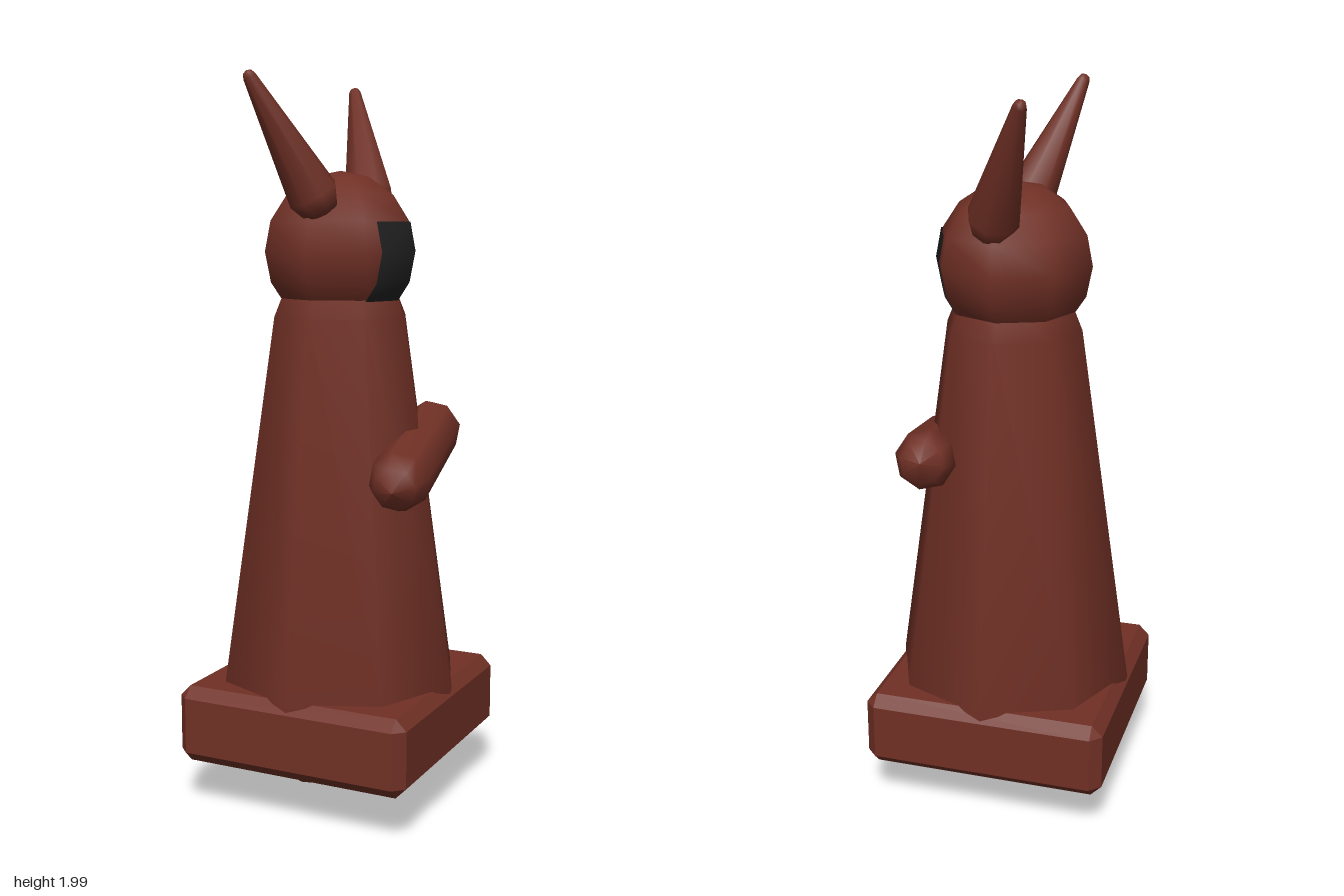
import * as THREE from 'three';
import { ConvexGeometry } from 'three/addons/geometries/ConvexGeometry.js';

const brown = new THREE.MeshStandardMaterial({ color: 0x703025 });
brown.name = 'reddish brown';
const black = new THREE.MeshStandardMaterial({ color: 0x222222, side: THREE.DoubleSide });
black.name = 'visor black';

const UP = new THREE.Vector3(0, 1, 0);

// Eight-sided tapered capsule between two points, with a rounded cap at each end
function taperedCapsule(name, a, b, ra, rb) {
  const start = new THREE.Vector3(...a);
  const dir = new THREE.Vector3(...b).sub(start);
  const length = dir.length();
  const c = Math.SQRT1_2;
  const profile = [
    [0, -ra], [ra * c, -ra * c], [ra, 0],
    [rb, length], [rb * c, length + rb * c], [0, length + rb],
  ].map(([x, y]) => new THREE.Vector2(x, y));
  const mesh = new THREE.Mesh(new THREE.LatheGeometry(profile, 8), brown);
  mesh.name = name;
  mesh.position.copy(start);
  mesh.quaternion.setFromUnitVectors(UP, dir.normalize());
  return mesh;
}

// Box with every edge and corner cut off
function chamferedBox(w, h, d, cut) {
  const points = [];
  for (const x of [-1, 1]) for (const y of [-1, 1]) for (const z of [-1, 1]) {
    for (let axis = 0; axis < 3; axis++) {
      const half = [w / 2, h / 2, d / 2].map((s, i) => (i === axis ? s : s - cut));
      points.push(new THREE.Vector3(x * half[0], y * half[1], z * half[2]));
    }
  }
  return new ConvexGeometry(points);
}

// Thin face plate following the facets of the eight-sided head
function visorGeometry(radius) {
  const rows = [-0.13, -0.082, 0, 0.08];
  const columns = [0.11, 0, -0.11];
  const ringRadius = (y) => {
    const step = Math.PI / 8;
    const k = Math.floor(Math.asin(y / radius) / step);
    const y0 = radius * Math.sin(k * step), y1 = radius * Math.sin((k + 1) * step);
    const r0 = radius * Math.cos(k * step), r1 = radius * Math.cos((k + 1) * step);
    return r0 + (r1 - r0) * (y - y0) / (y1 - y0);
  };
  const positions = [], index = [];
  for (const y of rows) for (const z of columns) {
    positions.push(ringRadius(y) - Math.abs(z) * Math.tan(Math.PI / 8) + 0.005, y, z);
  }
  for (let r = 0; r < rows.length - 1; r++) for (let c = 0; c < 2; c++) {
    const i = r * 3 + c;
    index.push(i, i + 1, i + 4, i, i + 4, i + 3);
  }
  const geometry = new THREE.BufferGeometry();
  geometry.setAttribute('position', new THREE.Float32BufferAttribute(positions, 3));
  geometry.setIndex(index);
  geometry.computeVertexNormals();
  return geometry;
}

export function createModel() {
  const model = new THREE.Group();
  model.name = 'hornedFigure';

  // Square plinth
  const base = new THREE.Mesh(chamferedBox(0.68, 0.215, 0.68, 0.03), brown);
  base.name = 'base';
  base.position.y = 0.2475;
  model.add(base);

  // Robe-like body with a rounded end poking out below the plinth
  model.add(taperedCapsule('body', [0, 0.345, 0], [0, 1.365, 0], 0.34, 0.19));

  // Head and face plate
  const head = new THREE.Mesh(new THREE.SphereGeometry(0.215, 8, 8), brown);
  head.name = 'head';
  head.position.y = 1.54;
  model.add(head);
  const visor = new THREE.Mesh(visorGeometry(0.215), black);
  visor.name = 'visor';
  visor.position.y = 1.54;
  model.add(visor);

  // Swept-back pair of horns
  for (const [side, name] of [[1, 'frontHorn'], [-1, 'backHorn']]) {
    model.add(taperedCapsule(name, [0.003, 1.69, 0.172 * side], [-0.105, 1.982, 0.309 * side], 0.07, 0.018));
  }

  // Arm folded across the chest
  model.add(taperedCapsule('arm', [0.255, 0.95, 0.175], [0.185, 1.035, -0.215], 0.083, 0.083));

  return model;
}
